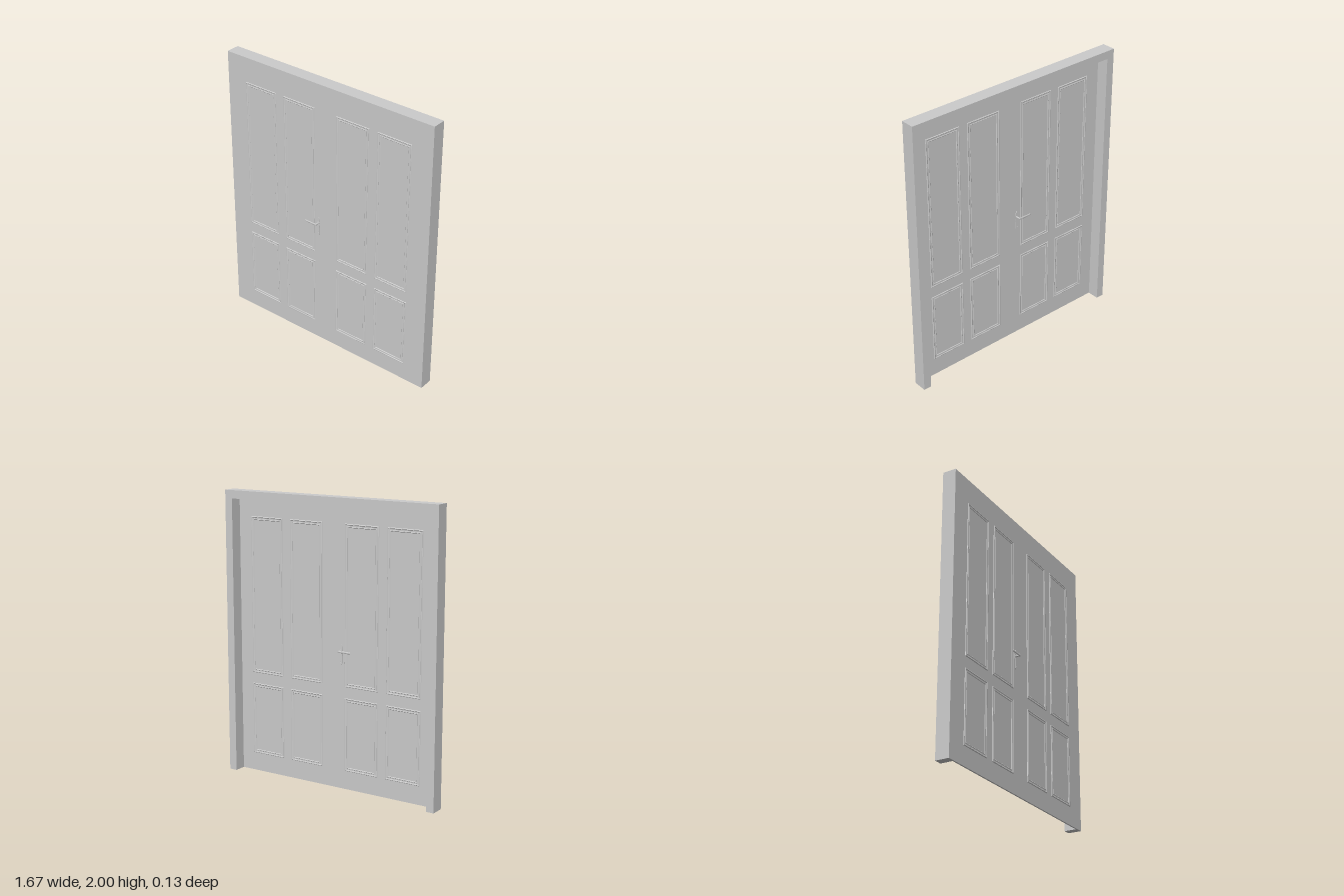
import * as THREE from 'three';

const FRONT = 0.03, BACK = -0.067, LEAF_BACK = 0.019;
const W = 0.835, H = 2, JAMB = 0.057;

const material = new THREE.MeshStandardMaterial({ color: 0xcccccc });
const flat = new THREE.MeshStandardMaterial({ color: 0xcccccc, flatShading: true });

function part(name, geometry, x = 0, y = 0, z = 0, mat = material) {
  const mesh = new THREE.Mesh(geometry, mat);
  mesh.name = name;
  mesh.position.set(x, y, z);
  return mesh;
}

// Moulding section: inset from the outer edge, height above the leaf
const SECTION = [
  [0, 0], [0.002, 0.003], [0.006, 0.004], [0.009, 0.0015], [0.011, 0.001],
  [0.018, 0.001], [0.02, 0.003], [0.023, 0.003], [0.026, 0],
];

// Mitred rectangular moulding swept from nested rings
function mouldingGeometry(w, h) {
  const pos = [], index = [];
  for (const [inset, z] of SECTION) {
    const a = w / 2 - inset, b = h / 2 - inset;
    pos.push(-a, -b, z, a, -b, z, a, b, z, -a, b, z);
  }
  for (let r = 0; r < SECTION.length - 1; r++) {
    for (let k = 0; k < 4; k++) {
      const n = (k + 1) % 4, o = r * 4, i = o + 4;
      index.push(o + k, o + n, i + n, o + k, i + n, i + k);
    }
  }
  const g = new THREE.BufferGeometry();
  g.setAttribute('position', new THREE.Float32BufferAttribute(pos, 3));
  g.setIndex(index);
  g.computeVertexNormals();
  return g;
}

// Eight panel mouldings for one face, facing +z
function panelMouldings(name) {
  const group = new THREE.Group();
  group.name = name;
  for (const side of [-1, 1]) {
    for (const [x0, x1] of [[0.09, 0.353], [0.416, 0.68]]) {
      for (const [y0, y1] of [[0.13, 0.642], [0.72, 1.822]]) {
        group.add(part('panelMoulding', mouldingGeometry(x1 - x0, y1 - y0),
          side * (x0 + x1) / 2, (y0 + y1) / 2, 0, flat));
      }
    }
  }
  return group;
}

// Handle facing +z; dir is the way its lever points along x
function handle(name, dir) {
  const group = new THREE.Group();
  group.name = name;

  // Back plate with rounded ends, a slim lower half and a keyhole
  const s = new THREE.Shape();
  s.moveTo(-0.01, -0.088);
  s.quadraticCurveTo(0, -0.104, 0.01, -0.088);
  s.lineTo(0.01, -0.035);
  s.quadraticCurveTo(0.015, 0, 0.01, 0.03);
  s.quadraticCurveTo(0, 0.06, -0.01, 0.03);
  s.quadraticCurveTo(-0.015, 0, -0.01, -0.035);
  s.closePath();
  const key = new THREE.Path();
  key.absarc(0, -0.074, 0.004, 0, Math.PI * 2, true);
  s.holes.push(key);
  group.add(part('backPlate', new THREE.ExtrudeGeometry(s,
    { depth: 0.004, bevelEnabled: false, curveSegments: 8 })));

  // Collar and stem
  for (const [n, r, len] of [['collar', 0.01, 0.009], ['stem', 0.006, 0.036]]) {
    const g = new THREE.CylinderGeometry(r, r, len, 16).rotateX(Math.PI / 2);
    group.add(part(n, g, 0, 0, len / 2));
  }

  // Flattened lever
  const lever = new THREE.CapsuleGeometry(0.007, 0.086, 6, 12)
    .rotateZ(Math.PI / 2).scale(1, 1, 0.5);
  group.add(part('lever', lever, dir * 0.044, 0, 0.0335));
  return group;
}

export function createModel() {
  const model = new THREE.Group();
  model.name = 'doubleDoor';

  // Frame: two jambs and a lintel
  const f = new THREE.Shape();
  const a = W - JAMB, t = H - JAMB;
  [[-W, 0], [-a, 0], [-a, t], [a, t], [a, 0], [W, 0], [W, H], [-W, H]]
    .forEach(([x, y], i) => (i ? f.lineTo(x, y) : f.moveTo(x, y)));
  model.add(part('frame', new THREE.ExtrudeGeometry(f,
    { depth: FRONT - BACK, bevelEnabled: false }), 0, 0, BACK));

  // Thin leaf, flush with the front of the frame
  model.add(part('doorLeaf', new THREE.BoxGeometry(2 * a, t, FRONT - LEAF_BACK),
    0, t / 2, (FRONT + LEAF_BACK) / 2));

  // Front and back mouldings and handles
  for (const [label, z, turn, dir] of [['front', FRONT, 0, -1], ['back', LEAF_BACK, Math.PI, 1]]) {
    const mouldings = panelMouldings(label + 'Mouldings');
    mouldings.position.z = z;
    mouldings.rotation.y = turn;
    const lever = handle(label + 'Handle', dir);
    lever.position.set(-0.06, 0.965, z);
    lever.rotation.y = turn;
    model.add(mouldings, lever);
  }
  return model;
}
